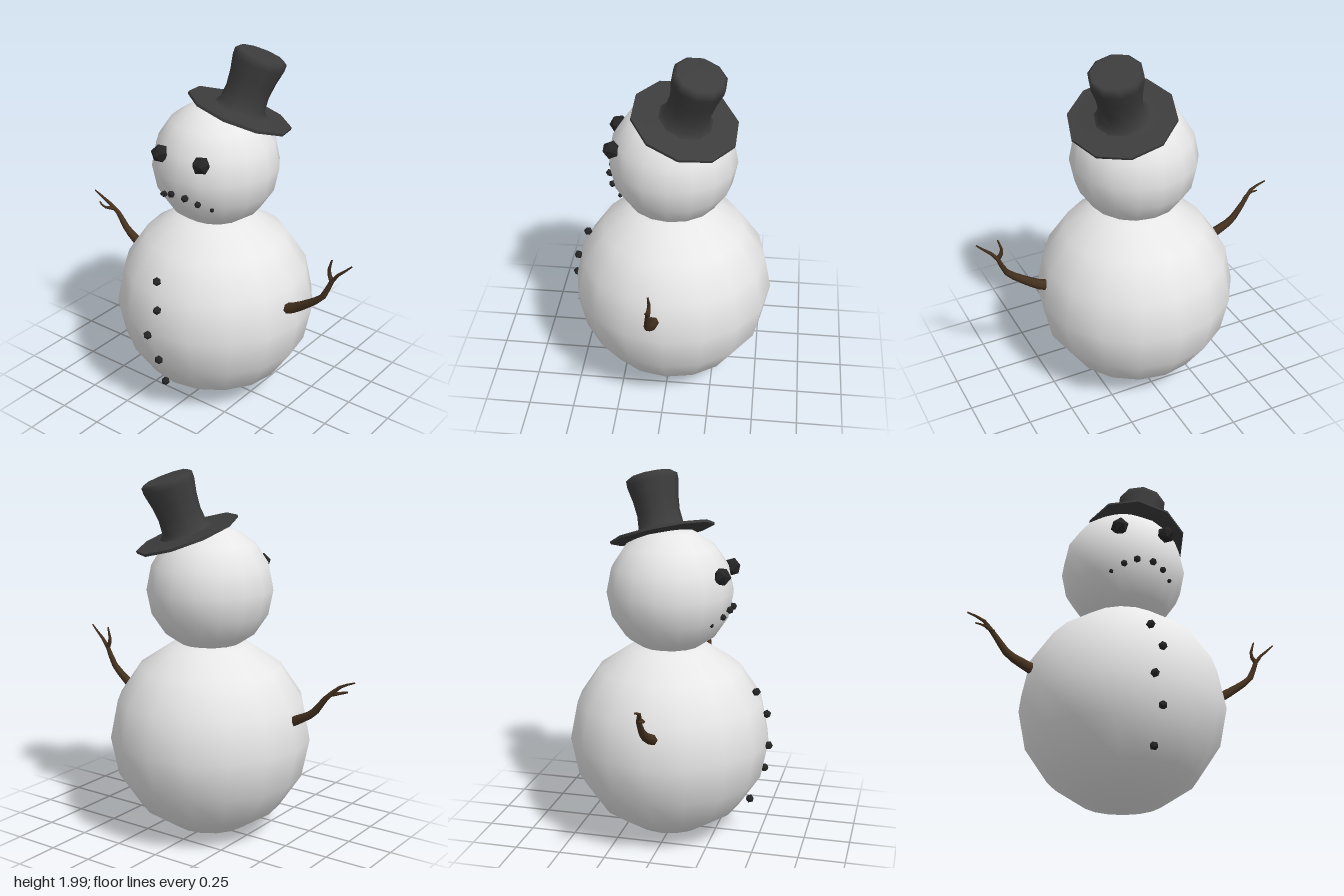
import * as THREE from 'three';

const snow = new THREE.MeshStandardMaterial({ color: 0xe7e7e7 });
const felt = new THREE.MeshStandardMaterial({ color: 0x3c3c3c });
const coal = new THREE.MeshStandardMaterial({ color: 0x242424, flatShading: true });
const wood = new THREE.MeshStandardMaterial({ color: 0x46321f });

function add(parent, name, geometry, material, position = [0, 0, 0]) {
  const mesh = new THREE.Mesh(geometry, material);
  mesh.name = name;
  mesh.position.set(...position);
  parent.add(mesh);
  return mesh;
}

function lathe(profile) {
  return new THREE.LatheGeometry(profile.map(([r, y]) => new THREE.Vector2(r, y)), 10);
}

// Tube through the points that narrows from r0 to r1
function twig(points, r0, r1) {
  const path = new THREE.CatmullRomCurve3(points.map((p) => new THREE.Vector3(...p)), false, 'catmullrom', 0.3);
  const rings = (points.length - 1) * 2, sides = 6;
  const geometry = new THREE.TubeGeometry(path, rings, 1, sides);
  const pos = geometry.attributes.position, v = new THREE.Vector3();
  for (let i = 0; i < pos.count; i++) {
    const t = Math.floor(i / (sides + 1)) / rings;
    const centre = path.getPointAt(t);
    v.fromBufferAttribute(pos, i).sub(centre).multiplyScalar(r0 + (r1 - r0) * t).add(centre);
    pos.setXYZ(i, v.x, v.y, v.z);
  }
  return geometry;
}

// Arm built from a main branch and a side twig
function addArm(parent, name, branch, fork) {
  const arm = new THREE.Group();
  arm.name = name;
  add(arm, 'branch', twig(branch, 0.031, 0.004), wood);
  add(arm, 'sideTwig', twig(fork, 0.013, 0.004), wood);
  parent.add(arm);
}

export function createModel() {
  const model = new THREE.Group();
  model.name = 'snowman';

  // Snowballs
  add(model, 'body', new THREE.SphereGeometry(0.55, 16, 8), snow, [0.01, 0.56, -0.01]);
  add(model, 'head', new THREE.SphereGeometry(0.342, 16, 8), snow, [0.01, 1.37, -0.007]);

  // Coal lumps, each turned a little differently
  let turn = 0;
  const lump = (name, r, position) => {
    const mesh = add(model, name, new THREE.IcosahedronGeometry(r, 0), coal, position);
    turn += 0.9;
    mesh.rotation.set(turn, turn * 0.7, 0);
  };
  lump('eye', 0.05, [-0.295, 1.485, -0.135]);
  lump('eye', 0.05, [-0.295, 1.485, 0.13]);
  for (const side of [-1, 1]) {
    lump('mouthCoal', 0.021, [-0.322, 1.29, 0.045 * side]);
    lump('mouthCoal', 0.019, [-0.298, 1.265, 0.11 * side]);
    lump('mouthCoal', 0.013, [-0.25, 1.232, 0.165 * side]);
  }
  const buttons = [[-0.47, 0.845, -0.03], [-0.523, 0.71, 0.012], [-0.545, 0.55, -0.04],
    [-0.517, 0.4, 0.01], [-0.443, 0.215, -0.01]];
  buttons.forEach((p) => lump('button', 0.024, p));

  // Stick arms
  addArm(model, 'frontArm',
    [[-0.04, 0.67, 0.49], [-0.04, 0.7, 0.56], [-0.045, 0.815, 0.715], [-0.035, 0.945, 0.775],
      [-0.035, 1.0, 0.83], [-0.035, 1.05, 0.88]],
    [[-0.037, 0.93, 0.765], [-0.03, 0.975, 0.742], [-0.035, 1.05, 0.761]]);
  addArm(model, 'backArm',
    [[-0.025, 0.695, -0.49], [-0.02, 0.73, -0.56], [-0.012, 0.78, -0.645], [-0.012, 0.875, -0.72],
      [-0.035, 0.94, -0.79], [-0.03, 0.973, -0.873]],
    [[-0.018, 0.89, -0.73], [-0.055, 0.9, -0.785], [-0.04, 0.915, -0.83]]);

  // Tilted top hat
  const hat = new THREE.Group();
  hat.name = 'hat';
  hat.position.set(0.075, 1.64, 0.09);
  hat.quaternion.setFromUnitVectors(new THREE.Vector3(0, 1, 0), new THREE.Vector3(0.255, 0.938, 0.235).normalize());
  model.add(hat);
  add(hat, 'brimUnderside', lathe([[0, 0], [0.2, 0], [0.285, 0.012]]), felt);
  add(hat, 'brimEdge', lathe([[0.285, 0.012], [0.285, 0.026]]), felt);
  add(hat, 'brimTop', lathe([[0.285, 0.026], [0.2, 0.028], [0.12, 0.036]]), felt);
  add(hat, 'crown', lathe([[0.145, 0.034], [0.122, 0.06], [0.116, 0.13], [0.124, 0.21],
    [0.14, 0.29], [0.14, 0.325], [0.122, 0.338], [0, 0.335]]), felt);

  return model;
}
